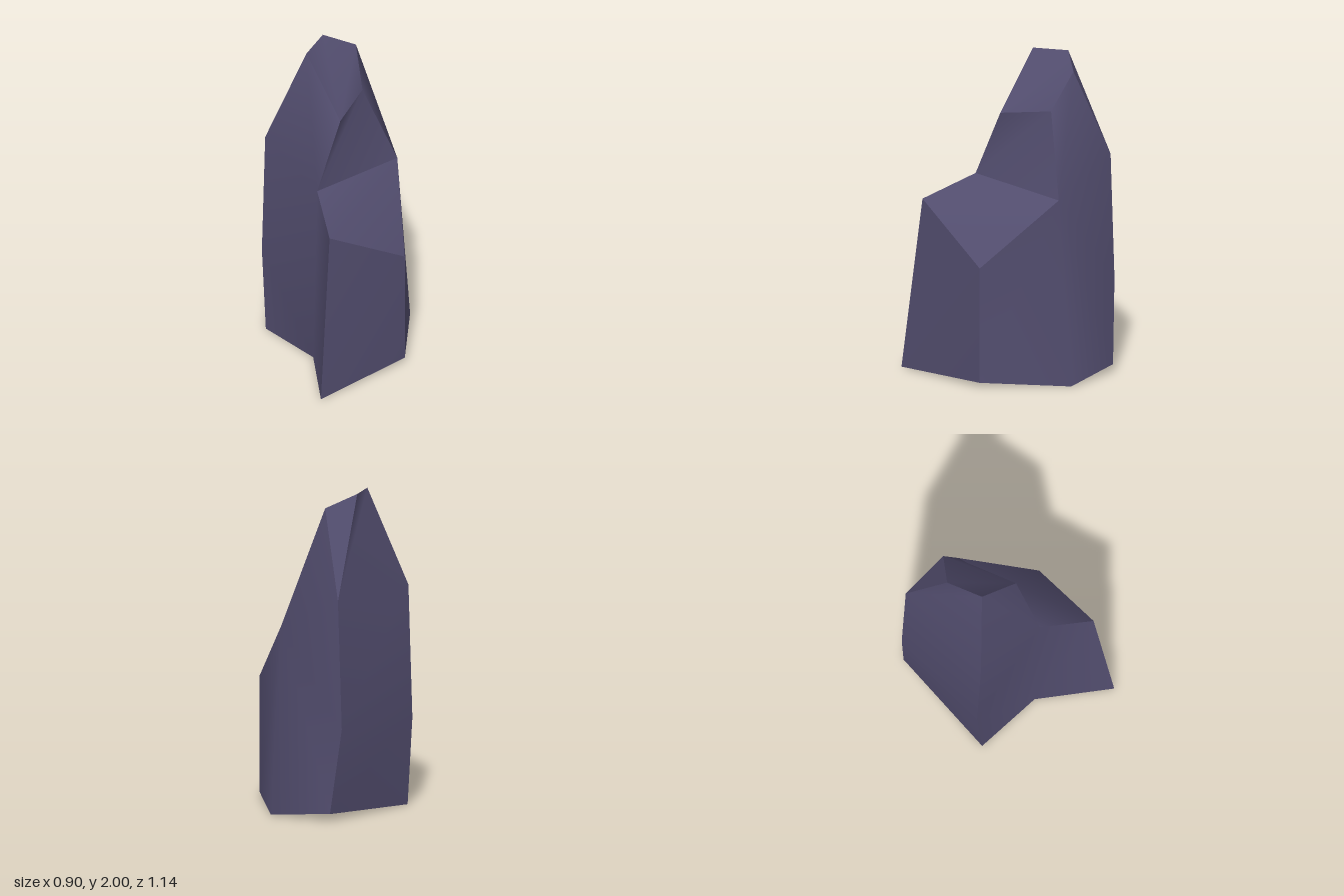
import * as THREE from 'three';

// Corner points of the stepped rock, [x, y, z]
const P = {
  // open base rim
  frontTip: [-0.445, 0, 0.57], frontFoot: [0.2, 0.03, 0.362], sideFoot: [0.446, 0.003, -0.145],
  backFoot: [0.26, 0.05, -0.53], rearFoot: [-0.44, 0, -0.325], notchFoot: [-0.3, 0, 0.097],
  // ledge
  ledgeTip: [-0.348, 1.085, 0.475], ledgeFront: [0.2, 0.76, 0.362],
  ledgeSide: [0.346, 1.17, -0.11], ledgeNotch: [-0.29, 1.22, 0.137],
  // back bulge and shoulders
  bulgeA: [0.2, 0.58, -0.571], bulgeB: [-0.45, 0.55, -0.364],
  shoulderA: [0.208, 1.38, -0.54], shoulderB: [-0.441, 1.38, -0.333],
  // crown
  crownA: [-0.105, 1.64, 0.062], crownB: [0.137, 1.68, -0.165], crownC: [0.154, 1.92, -0.311],
  peak: [-0.04, 2, -0.375], crest: [-0.213, 1.994, -0.22],
};

// Each patch is smooth inside and sharp at its border; faces run counterclockwise from outside
const PATCHES = {
  frontFace: ['frontTip frontFoot ledgeFront ledgeTip'],
  ledge: ['ledgeTip ledgeFront ledgeSide ledgeNotch'],
  stepWall: ['ledgeNotch ledgeSide crownB crownA'],
  crown: ['crownA crownB crownC peak crest'],
  crownChip: ['crownC shoulderA peak'],
  leftSide: [
    'frontFoot sideFoot ledgeSide ledgeFront',
    'ledgeSide sideFoot backFoot bulgeA shoulderA',
    'ledgeSide shoulderA crownC crownB',
  ],
  back: [
    'backFoot rearFoot bulgeB bulgeA',
    'bulgeA bulgeB shoulderB shoulderA',
    'shoulderA shoulderB crest peak',
  ],
  rightSide: [
    'bulgeB rearFoot notchFoot ledgeNotch shoulderB',
    'notchFoot frontTip ledgeTip ledgeNotch',
    'ledgeNotch crownA crest shoulderB',
  ],
};

// Fan-triangulate the polygons of one patch over shared corners
function patchGeometry(faces) {
  const names = [...new Set(faces.join(' ').split(' '))];
  const index = [];
  for (const face of faces) {
    const ids = face.split(' ').map((n) => names.indexOf(n));
    for (let i = 1; i < ids.length - 1; i++) index.push(ids[0], ids[i], ids[i + 1]);
  }
  const geometry = new THREE.BufferGeometry();
  geometry.setAttribute('position', new THREE.Float32BufferAttribute(names.flatMap((n) => P[n]), 3));
  geometry.setIndex(index);
  geometry.computeVertexNormals();
  return geometry;
}

export function createModel() {
  const stone = new THREE.MeshStandardMaterial({ color: 0x524d6e, side: THREE.DoubleSide });
  stone.name = 'purple stone';

  const rock = new THREE.Group();
  rock.name = 'rock';
  for (const [name, faces] of Object.entries(PATCHES)) {
    const mesh = new THREE.Mesh(patchGeometry(faces), stone);
    mesh.name = name;
    rock.add(mesh);
  }
  return rock;
}
